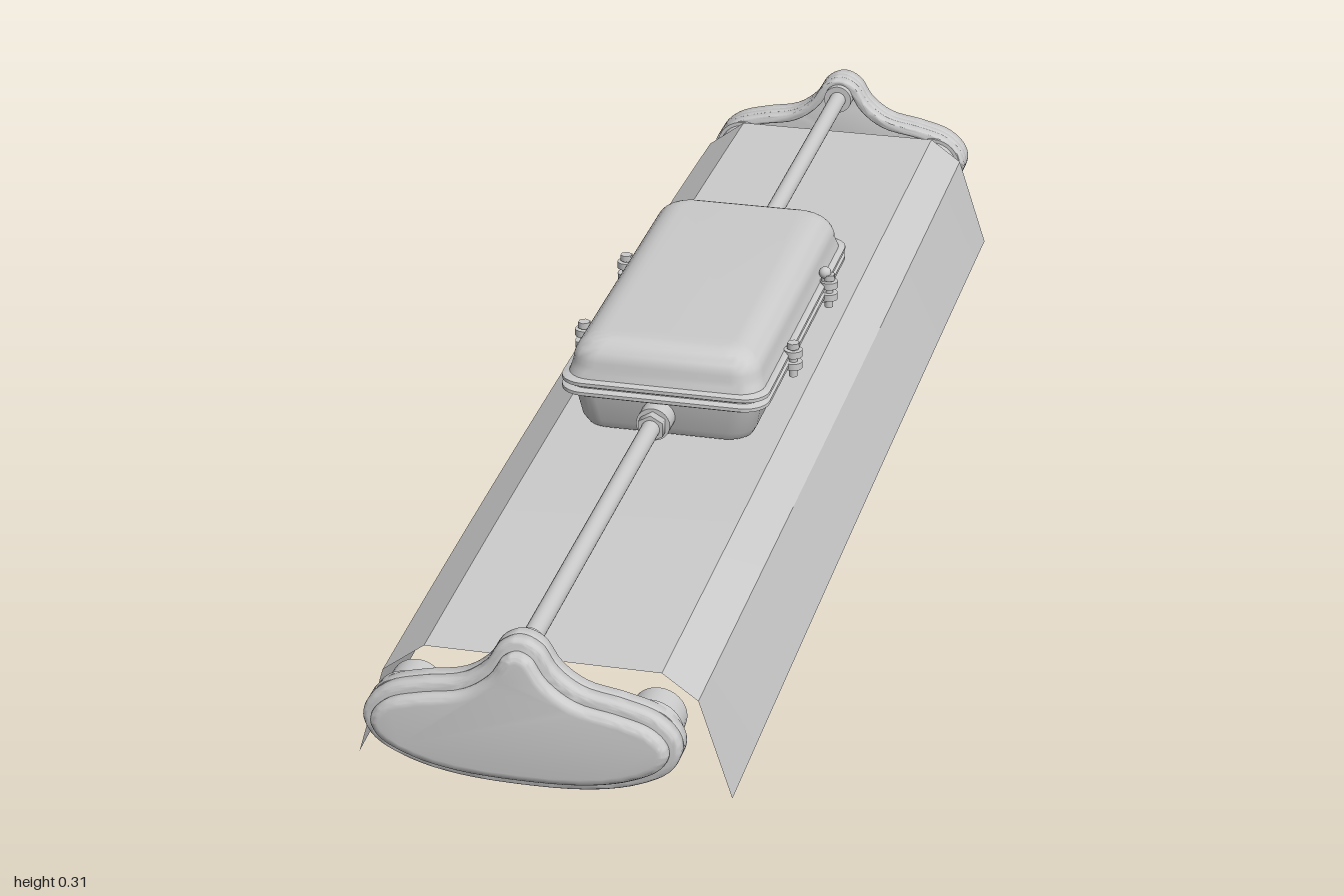
import * as THREE from 'three';
import { toCreasedNormals } from 'three/addons/utils/BufferGeometryUtils.js';

const grey = new THREE.MeshStandardMaterial({ color: 0xcccccc });
const greyThin = new THREE.MeshStandardMaterial({ color: 0xcccccc, side: THREE.DoubleSide });

function add(parent, name, geo, x = 0, y = 0, z = 0, mat = grey) {
  const mesh = new THREE.Mesh(geo, mat);
  mesh.name = name;
  mesh.position.set(x, y, z);
  parent.add(mesh);
  return mesh;
}

// Cylinder lying along z
const zCylinder = (r0, r1, length, sides = 24) =>
  new THREE.CylinderGeometry(r0, r1, length, sides).rotateX(Math.PI / 2);

// Stacks rounded rectangles [halfX, halfZ, radius, y] from bottom to top
function loft(sections, k = 6) {
  const pos = [], idx = [], n = 4 * (k + 1);
  for (const [hx, hz, r, y] of sections)
    for (let q = 0; q < 4; q++)
      for (let i = 0; i <= k; i++) {
        const a = (q + i / k) * Math.PI / 2;
        const sx = q === 0 || q === 3 ? 1 : -1, sz = q < 2 ? 1 : -1;
        pos.push(sx * (hx - r) + r * Math.cos(a), y, sz * (hz - r) + r * Math.sin(a));
      }
  for (let s = 0; s < sections.length - 1; s++)
    for (let i = 0; i < n; i++) {
      const a = s * n + i, b = s * n + (i + 1) % n;
      idx.push(a, a + n, b, b, a + n, b + n);
    }
  for (let i = 1; i < n - 1; i++) {
    const t = (sections.length - 1) * n;
    idx.push(0, i, i + 1, t, t + i + 1, t + i);
  }
  const geo = new THREE.BufferGeometry();
  geo.setAttribute('position', new THREE.Float32BufferAttribute(pos, 3));
  geo.setIndex(idx);
  return toCreasedNormals(geo, 0.6);
}

// Outline of the end caps: a wide crescent with a peak for the rod
function capOutline() {
  const half = [[0.026, 0.233], [0.046, 0.203], [0.078, 0.18], [0.13, 0.169], [0.175, 0.155],
    [0.2, 0.132], [0.206, 0.108], [0.192, 0.08], [0.15, 0.056], [0.09, 0.041]];
  const all = [[0, 0.244], ...half, [0, 0.036], ...half.slice().reverse().map(([x, y]) => [-x, y])];
  const curve = new THREE.CatmullRomCurve3(all.map(([x, y]) => new THREE.Vector3(x, y, 0)), true);
  return curve.getPoints(96).slice(0, 96).map(p => new THREE.Vector2(p.x, p.y)).reverse();
}

// Outline pulled inwards along its normals
function inset(points, d) {
  const n = points.length;
  return points.map((p, i) => {
    const t = points[(i + 1) % n].clone().sub(points[(i + n - 1) % n]).normalize();
    return new THREE.Vector2(p.x - t.y * d, p.y + t.x * d);
  });
}

function extrude(points, z0, z1, bevel, holePoints) {
  const shape = new THREE.Shape(points);
  if (holePoints) shape.holes.push(new THREE.Path(holePoints));
  const geo = new THREE.ExtrudeGeometry(shape, {
    depth: z1 - z0 - 2 * bevel, bevelEnabled: true, bevelThickness: bevel,
    bevelSize: bevel, bevelOffset: -bevel, bevelSegments: 4,
  });
  geo.translate(0, 0, z0 + bevel);
  return toCreasedNormals(geo, 0.7);
}

// End cap facing +z, with lamp sockets on its inner side
function endCap(name, plain) {
  const cap = new THREE.Group();
  cap.name = name;
  const outer = capOutline();
  add(cap, 'capPlate', extrude(outer, 0.958, 0.984, 0.008));
  add(cap, 'capInnerRim', extrude(outer, 0.944, 0.964, 0.004, inset(outer, 0.014)));
  if (plain) {
    add(cap, 'capRaisedFace', extrude(inset(outer, 0.013), 0.975, 1, 0.012));
  } else {
    add(cap, 'capOuterRim', extrude(outer, 0.972, 1, 0.006, inset(outer, 0.018)));
    for (const [x, y] of [[-0.08, 0.105], [0, 0.14], [0.08, 0.105]]) {
      add(cap, 'capBoltRing', new THREE.TorusGeometry(0.02, 0.004, 8, 24), x, y, 0.985);
      add(cap, 'capBolt', zCylinder(0.013, 0.015, 0.012), x, y, 0.988);
    }
  }
  for (const [x, y] of [[-0.158, 0.115], [0, 0.09], [0.158, 0.115]]) {
    add(cap, 'lampSocket', zCylinder(0.038, 0.036, 0.068, 32), x, y, 0.93);
    add(cap, 'socketCollar', zCylinder(0.043, 0.043, 0.022, 32), x, y, 0.951);
  }
  add(cap, 'rodSocket', zCylinder(0.022, 0.022, 0.04), 0, 0.215, 0.953);
  cap.position.x = -0.007;
  return cap;
}

// Folded sheet reflector, slightly bowed along its length
function shadeGeometry() {
  const profile = [[-0.246, 0.008], [-0.211, 0.132], [-0.155, 0.174], [0.155, 0.174], [0.202, 0.14], [0.246, 0.005]];
  const steps = 16, pos = [], idx = [];
  for (let s = 0; s <= steps; s++) {
    const u = s / steps * 2 - 1, bow = 1 - u * u;
    for (const [x, y] of profile)
      pos.push(x * (1 + 0.02 * bow), y + (y < 0.1 ? 0.018 : 0.007) * bow, u * 0.9);
  }
  const n = profile.length;
  for (let s = 0; s < steps; s++)
    for (let i = 0; i < n - 1; i++) {
      const a = s * n + i, b = a + n;
      idx.push(a, b, a + 1, a + 1, b, b + 1);
    }
  const geo = new THREE.BufferGeometry();
  geo.setAttribute('position', new THREE.Float32BufferAttribute(pos, 3));
  geo.setIndex(idx);
  return toCreasedNormals(geo, 0.3);
}

export function createModel() {
  const model = new THREE.Group();
  model.name = 'hangingTubeLamp';

  add(model, 'shade', shadeGeometry(), 0, 0, 0, greyThin);
  for (const z of [-0.2, 0.2])
    add(model, 'shadeScrew', new THREE.CylinderGeometry(0.006, 0.006, 0.008, 12), 0, 0.177, z);

  // End caps
  model.add(endCap('frontCap', true));
  const backCap = endCap('backCap', false);
  backCap.rotation.y = Math.PI;
  model.add(backCap);

  // Control box: lower tray, flanges and domed lid
  const box = new THREE.Group();
  box.name = 'controlBox';
  model.add(box);
  add(box, 'tray', loft([
    [0.105, 0.245, 0.03, 0.178], [0.118, 0.258, 0.035, 0.184], [0.124, 0.264, 0.035, 0.196], [0.134, 0.272, 0.035, 0.246]]));
  const flange = (y0, y1) => loft([
    [0.142, 0.281, 0.035, y0], [0.147, 0.286, 0.035, y0 + 0.003], [0.147, 0.286, 0.035, y1 - 0.003], [0.142, 0.281, 0.035, y1]]);
  add(box, 'trayFlange', flange(0.239, 0.25));
  add(box, 'lidFlange', flange(0.253, 0.264));
  add(box, 'gasket', loft([[0.138, 0.277, 0.03, 0.246], [0.138, 0.277, 0.03, 0.257]]));
  const lid = [[0.14, 0.279, 0.035, 0.26], [0.136, 0.276, 0.036, 0.272]];
  for (let i = 0; i <= 8; i++) {
    const a = i / 8 * Math.PI / 2, c = Math.cos(a);
    lid.push([0.09 + 0.044 * c, 0.238 + 0.036 * c, 0.02 + 0.018 * c, 0.28 + 0.038 * Math.sin(a)]);
  }
  add(box, 'lid', loft(lid));

  // Clamp bolts along the sides of the box
  for (const side of [-1, 1])
    for (const z of [-0.12, 0.12]) {
      const x = side * 0.151;
      add(box, 'clampLug', new THREE.CylinderGeometry(0.013, 0.013, 0.01, 16), x, 0.243, z);
      add(box, 'clampLug', new THREE.CylinderGeometry(0.013, 0.013, 0.01, 16), x, 0.261, z);
      add(box, 'clampBolt', new THREE.CylinderGeometry(0.006, 0.006, 0.05, 12), x, 0.25, z);
      add(box, 'clampNut', new THREE.CylinderGeometry(0.009, 0.009, 0.009, 6), x, 0.272, z);
    }
  add(box, 'latchBolt', new THREE.CylinderGeometry(0.006, 0.006, 0.05, 12), 0.145, 0.258, -0.12);
  add(box, 'latchKnob', new THREE.SphereGeometry(0.009, 14, 10), 0.145, 0.278, -0.12);

  // Carrying rods with glands where they enter the box
  for (const side of [-1, 1]) {
    add(model, 'rod', zCylinder(0.013, 0.013, 0.69), -0.007, 0.215, side * 0.615);
    add(model, 'rodGland', zCylinder(0.024, 0.024, 0.035), -0.007, 0.215, side * 0.28);
    add(model, 'rodGlandNut', zCylinder(0.02, 0.02, 0.02, 6), -0.007, 0.215, side * 0.302);
  }

  // Cable inlet on the back of the box
  add(model, 'cableInlet', zCylinder(0.022, 0.022, 0.03), 0.09, 0.215, -0.28);
  add(model, 'cableInletNut', zCylinder(0.018, 0.018, 0.022, 6), 0.09, 0.215, -0.302);

  return model;
}
